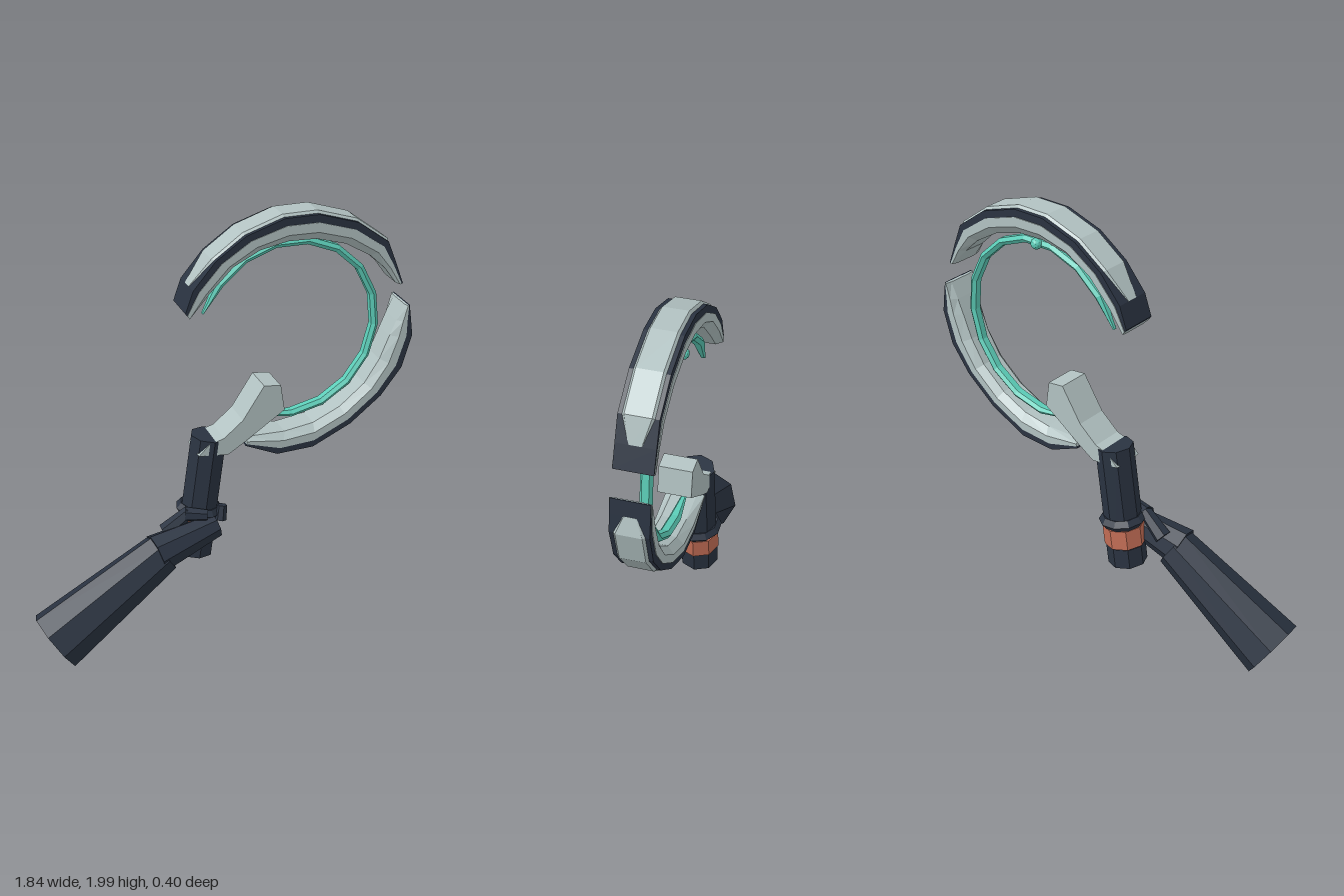
import * as THREE from 'three';

const mat = (name, color) => Object.assign(new THREE.MeshStandardMaterial({ color }), { name });

export function createModel() {
  const model = new THREE.Group();
  const dark = mat('dark navy', 0x2a3341);
  const pale = mat('pale grey', 0xb2c2c2);
  const teal = mat('teal', 0x5ccdb8);
  const copper = mat('copper', 0xc46e56);

  // Adds a mesh with hard facets
  function add(name, geometry, material) {
    const g = geometry.index ? geometry.toNonIndexed() : geometry;
    g.computeVertexNormals();
    const mesh = new THREE.Mesh(g, material);
    mesh.name = name;
    model.add(mesh);
    return mesh;
  }

  // Sweeps a symmetric section along stations [outerX, outerY, innerX, innerY, widthScale, heightScale].
  // half: points [t, w] from outer to inner, t = 0 at the inner edge and 1 at the outer edge.
  function sweep(stations, half, zc) {
    const profile = [...half, ...half.slice().reverse().map(([t, w]) => [t, -w])];
    const n = profile.length, base = half[half.length - 1][0];
    const pos = [], idx = [];
    for (const [ox, oy, ix, iy, ws = 1, hs = 1] of stations) {
      for (const [t, w] of profile) {
        const k = base + (t - base) * hs;
        pos.push(ix + (ox - ix) * k, iy + (oy - iy) * k, zc + w * ws);
      }
    }
    for (let i = 0; i < stations.length - 1; i++) {
      for (let j = 0; j < n; j++) {
        const a = i * n + j, b = i * n + (j + 1) % n;
        idx.push(a, b, b + n, a, b + n, a + n);
      }
    }
    const last = (stations.length - 1) * n;
    for (let j = 1; j < n - 1; j++) {
      idx.push(0, j + 1, j, last, last + j, last + j + 1);
    }
    const g = new THREE.BufferGeometry();
    g.setAttribute('position', new THREE.Float32BufferAttribute(pos, 3));
    g.setIndex(idx);
    return g;
  }

  // Straight tapered tube between two points
  function rod(name, a, b, ra, rb, material, sides = 8) {
    const p = new THREE.Vector3(...a), q = new THREE.Vector3(...b);
    const d = q.clone().sub(p);
    const mesh = add(name, new THREE.CylinderGeometry(rb, ra, d.length(), sides), material);
    mesh.position.copy(p).add(q).multiplyScalar(0.5);
    mesh.quaternion.setFromUnitVectors(new THREE.Vector3(0, 1, 0), d.normalize());
    return mesh;
  }

  // Two crescent blades, each running clockwise around the ring
  const blades = {
    upperBlade: [
      [-0.18, 1.62, -0.15, 1.58], [-0.15, 1.72, -0.06, 1.68], [-0.05, 1.84, 0.05, 1.79],
      [0.09, 1.94, 0.17, 1.85], [0.27, 2.0, 0.3, 1.875], [0.43, 2.0, 0.43, 1.87],
      [0.62, 1.94, 0.57, 1.83], [0.77, 1.83, 0.69, 1.76], [0.81, 1.72, 0.765, 1.69],
      [0.845, 1.62, 0.82, 1.615],
    ],
    lowerBlade: [
      [0.885, 1.51, 0.87, 1.505], [0.9, 1.44, 0.835, 1.43], [0.915, 1.36, 0.805, 1.36],
      [0.87, 1.2, 0.76, 1.25], [0.77, 1.07, 0.69, 1.14], [0.62, 0.95, 0.57, 1.04],
      [0.43, 0.86, 0.44, 0.98], [0.25, 0.855, 0.3, 0.96], [0.1, 0.93, 0.11, 0.965],
    ],
  };
  const zBlade = -0.097;
  for (const [name, s] of Object.entries(blades)) {
    add(name + 'Shell', sweep(s, [[0.91, 0.083], [0.55, 0.083]], zBlade), dark);
    add(name + 'Lining', sweep(s, [[0.64, 0.086], [0.3, 0.086], [0, 0.055]], zBlade), pale);
    // Raised outer strip, narrowing to blunt points
    const strip = s.slice(1, -1).map((p, i, list) =>
      i === 0 || i === list.length - 1 ? [...p, 0.45, 0.35] : p);
    add(name + 'Strip', sweep(strip, [[1, 0.055], [0.88, 0.068]], zBlade), pale);
  }

  // Glowing inner ring with pointed ends
  const ring = [], steps = 13;
  for (let i = 0; i <= steps; i++) {
    const a = THREE.MathUtils.degToRad(162 - (270 * i) / steps);
    const c = Math.cos(a), s = Math.sin(a);
    const end = i === 0 || i === steps;
    const ro = end ? 0.43 : 0.436, ri = end ? 0.422 : 0.402;
    ring.push([0.34 + ro * c, 1.43 + ro * s, 0.34 + ri * c, 1.43 + ri * s, end ? 0.4 : 1]);
  }
  add('innerRing', sweep(ring, [[1, 0.015], [0.5, 0.027], [0, 0.015]], -0.12), teal);
  add('ringBead', new THREE.IcosahedronGeometry(0.026, 1), teal).position.set(0.34, 1.846, -0.148);

  // Bracket joining the ring to the grip
  const outline = [[-0.12, 0.915], [0.02, 0.9], [0.1, 0.95], [0.29, 1.08], [0.27, 1.205],
    [0.19, 1.215], [0.09, 1.06], [0, 0.985], [-0.07, 0.965]];
  const shape = new THREE.Shape(outline.map(([x, y]) => new THREE.Vector2(x, y)));
  const bracket = new THREE.ExtrudeGeometry(shape, { depth: 0.15, bevelEnabled: false });
  add('bracket', bracket, pale).position.z = -0.172;

  // Grip with its copper band
  const at = (k, z = -0.1) => [-0.125 + 0.08 * k, 0.385 + 0.59 * k, z];
  rod('grip', at(0), at(1), 0.088, 0.086, dark);
  rod('gripFoot', at(0), at(0.16), 0.09, 0.09, dark);
  rod('copperBand', at(0.17), at(0.33), 0.096, 0.096, copper);

  // Forearm, wrist and palm
  rod('forearm', [-0.84, 0.135, 0.05], [-0.31, 0.477, 0.015], 0.148, 0.097, dark);
  rod('palm', [-0.345, 0.478, 0.025], [-0.045, 0.553, -0.01], 0.093, 0.058, dark);

  // Fingers curled around the grip, with knuckles and thumb
  const fingers = add('fingers', new THREE.TorusGeometry(0.082, 0.028, 5, 10), dark);
  fingers.position.set(...at(0.375));
  fingers.rotation.set(Math.PI / 2, -0.13, 0);
  rod('knuckle', [-0.02, 0.575, -0.01], [-0.01, 0.645, -0.02], 0.026, 0.022, dark, 6);
  rod('thumb', [-0.28, 0.545, -0.04], [-0.165, 0.635, -0.03], 0.04, 0.03, dark, 6);
  rod('thumbTip', [-0.185, 0.625, -0.03], [-0.09, 0.62, 0.005], 0.035, 0.026, dark, 6);

  return model;
}
